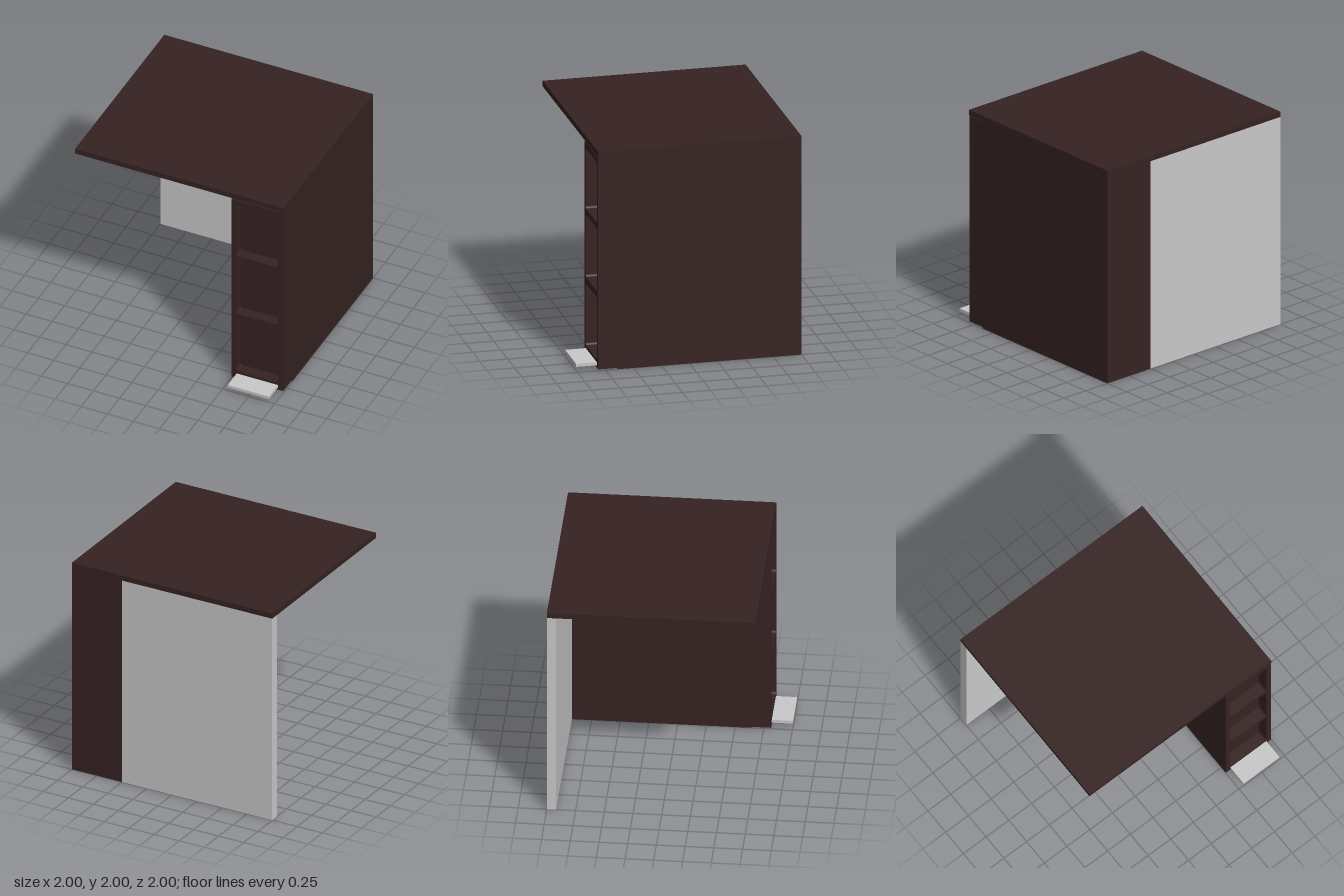
import * as THREE from 'three';

export function createModel() {
  const group = new THREE.Group();
  const brown = new THREE.MeshStandardMaterial({ color: 0x362323 });
  brown.name = 'dark brown';
  const grey = new THREE.MeshStandardMaterial({ color: 0xc9c9c9 });
  grey.name = 'light grey';

  function add(name, geometry, material) {
    const mesh = new THREE.Mesh(geometry, material);
    mesh.name = name;
    group.add(mesh);
    return mesh;
  }

  // box given by its limits on each axis
  function box(name, [x0, x1], [y0, y1], [z0, z1], material) {
    const mesh = add(name, new THREE.BoxGeometry(x1 - x0, y1 - y0, z1 - z0), material);
    mesh.position.set((x0 + x1) / 2, (y0 + y1) / 2, (z0 + z1) / 2);
  }

  function roundedRect(path, x0, x1, y0, y1, r) {
    path.moveTo(x0 + r, y0);
    path.lineTo(x1 - r, y0);
    path.absarc(x1 - r, y0 + r, r, -Math.PI / 2, 0);
    path.lineTo(x1, y1 - r);
    path.absarc(x1 - r, y1 - r, r, 0, Math.PI / 2);
    path.lineTo(x0 + r, y1);
    path.absarc(x0 + r, y1 - r, r, Math.PI / 2, Math.PI);
    path.lineTo(x0, y0 + r);
    path.absarc(x0 + r, y0 + r, r, Math.PI, Math.PI * 1.5);
    return path;
  }

  // main slabs
  box('topPlate', [-1, 1], [1.95, 2], [-1, 0.815], brown);
  box('cabinetBody', [0.5, 1], [0, 1.95], [-1, 0.64], brown);
  box('backPanel', [-1, 0.5], [0, 1.95], [-1, -0.92], grey);

  // front of the cabinet: backing and a frame with three recesses
  box('recessBacking', [0.5, 0.995], [0.01, 1.94], [0.64, 0.715], brown);
  const frame = new THREE.Shape();
  frame.moveTo(0.5, 0.01);
  frame.lineTo(0.995, 0.01);
  frame.lineTo(0.995, 1.94);
  frame.lineTo(0.5, 1.94);
  frame.closePath();
  for (const [y0, y1] of [[0.085, 0.655], [0.71, 1.285], [1.335, 1.89]]) {
    frame.holes.push(roundedRect(new THREE.Path(), 0.545, 0.945, y0, y1, 0.025));
  }
  const frameGeometry = new THREE.ExtrudeGeometry(frame, { depth: 0.1, bevelEnabled: false, curveSegments: 6 });
  frameGeometry.translate(0, 0, 0.715);
  add('frontFrame', frameGeometry, brown);

  // pulled-out tray
  box('tray', [0.55, 0.945], [0.032, 0.06], [0.75, 1], grey);

  // ceiling lamps: flange with a shallow dome
  for (const x of [-0.625, 0.125]) {
    const flange = add('lampFlange', new THREE.CylinderGeometry(0.1, 0.1, 0.03, 32), brown);
    flange.position.set(x, 1.935, -0.09);
    const dome = add('lampDome', new THREE.SphereGeometry(0.065, 24, 12), brown);
    dome.scale.y = 0.2;
    dome.position.set(x, 1.923, -0.09);
  }
  return group;
}
